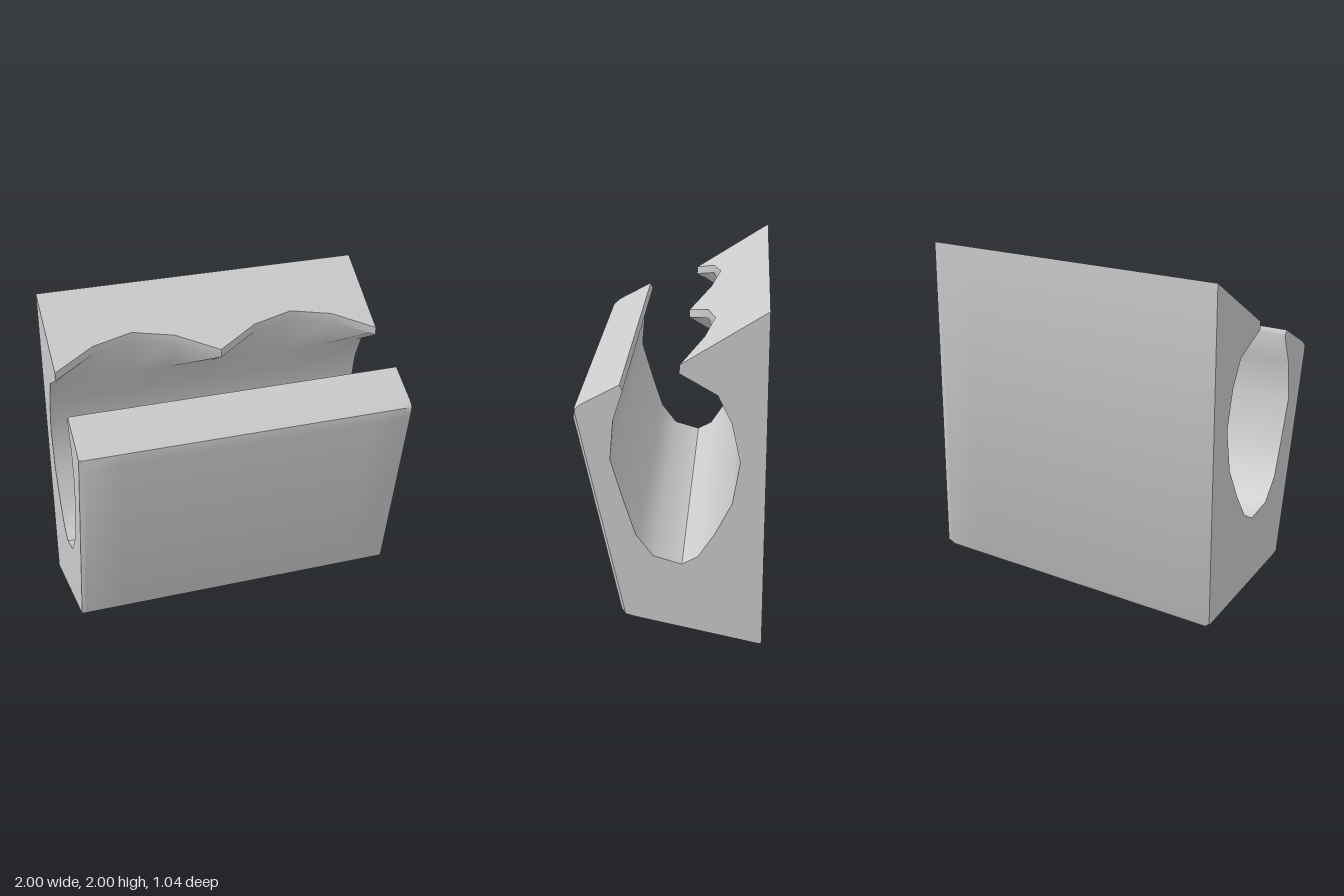
import * as THREE from 'three';
import { toCreasedNormals } from 'three/addons/utils/BufferGeometryUtils.js';

// Lengthwise stations: bevelled ends plus the facets of the scalloped lip
const STATIONS = [-1, -0.965, -0.75, -0.5, -0.25, 0, 0.25, 0.5, 0.75, 0.965, 1];

// How far the lip is cut back at x: two faceted scallops
function scallop(x) {
  const t = Math.min(Math.abs(x), 1 - Math.abs(x));
  return t < 0.25 ? t * 0.48 : 0.12 + (t - 0.25) * 0.2;
}

// Cross-section at x as [z, y], running along the base, up the front,
// through the bore and round the lip to the top of the back
function section(x) {
  const end = Math.abs(x) === 1;
  const outer = end
    ? [[-0.52, 0.03], [-0.505, 0.025], [0.21, 0.182], [0.255, 0.195], [0.505, 1.40], [0.51, 1.44], [0.475, 1.47]]
    : [[-0.52, 0.02], [-0.505, 0], [0.21, 0.168], [0.282, 0.215], [0.522, 1.38], [0.515, 1.44], [0.475, 1.47]];
  const bore = [
    [0.265, 1.585], [0.25, 1.55], [0.305, 1.38], [0.325, 1.15], [0.25, 0.89],
    [0.19, 0.7], [0.095, 0.572], [-0.065, 0.525], [-0.155, 0.575], [-0.245, 0.715],
    [-0.34, 0.905], [-0.38, 1.15], [-0.33, 1.38], [-0.255, 1.535],
  ];
  const z = -0.053 - scallop(x);
  const top = 2 - 0.638 * (z + 0.52);
  return [...outer, ...bore, [z + 0.003, top - 0.048], [z, top], [-0.52, 2]];
}

function loft() {
  const rings = STATIONS.map(section);
  const n = rings[0].length;
  const positions = rings.flatMap((ring, i) => ring.flatMap(([z, y]) => [STATIONS[i], y, z]));
  const index = [];

  // Skin between neighbouring sections
  for (let i = 0; i < rings.length - 1; i++) {
    for (let j = 0; j < n; j++) {
      const k = (j + 1) % n;
      const a = i * n + j, b = i * n + k, c = b + n, d = a + n;
      index.push(a, d, c, a, c, b);
    }
  }

  // Flat end caps
  const last = (rings.length - 1) * n;
  const outline = rings[0].map(([z, y]) => new THREE.Vector2(z, y));
  for (const [a, b, c] of THREE.ShapeUtils.triangulateShape(outline, [])) {
    index.push(a, b, c, last + a, last + c, last + b);
  }

  const geometry = new THREE.BufferGeometry();
  geometry.setAttribute('position', new THREE.Float32BufferAttribute(positions, 3));
  geometry.setIndex(index);
  return toCreasedNormals(geometry, 0.75);
}

export function createModel() {
  const group = new THREE.Group();
  group.name = 'scallopedHolder';
  const body = new THREE.Mesh(loft(), new THREE.MeshStandardMaterial({ color: 0xcccccc }));
  body.name = 'holderBody';
  group.add(body);
  return group;
}
